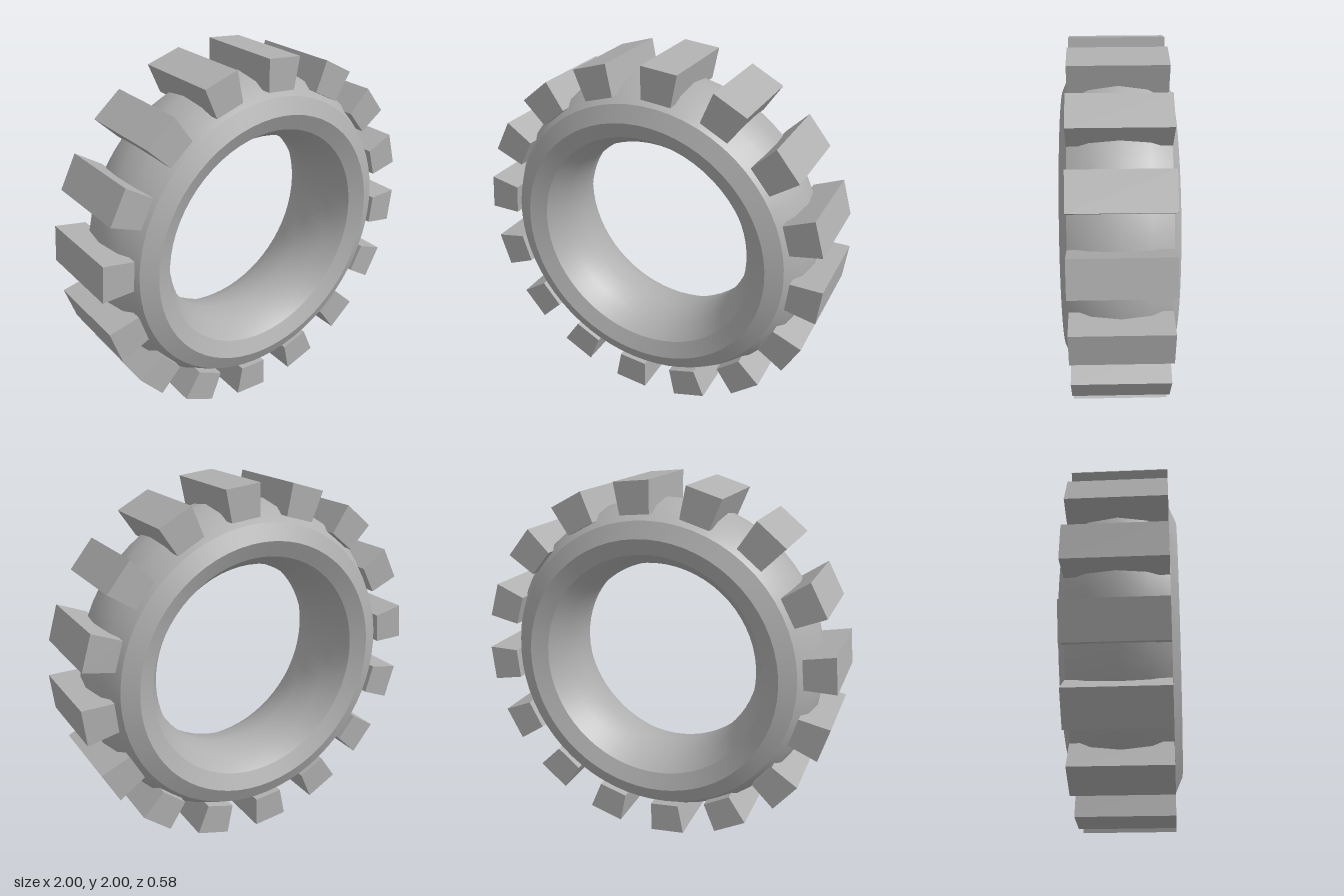
import * as THREE from 'three';
import { toCreasedNormals } from 'three/addons/utils/BufferGeometryUtils.js';

export function createModel() {
  const model = new THREE.Group();
  model.name = 'treadedTyre';
  const rubber = new THREE.MeshStandardMaterial({ color: 0xb0b0b0 });
  rubber.name = 'grey rubber';

  // wheel centre sits one unit above the ground
  const wheel = new THREE.Group();
  wheel.name = 'wheel';
  wheel.position.y = 1;
  model.add(wheel);

  // tyre body: twelve-sided ring section stretched across its width
  const ring = new THREE.TorusGeometry(0.71, 0.175, 12, 64);
  ring.scale(1, 1, 0.29 / 0.175);
  const body = new THREE.Mesh(toCreasedNormals(ring, 0.5), rubber);
  body.name = 'tyreBody';
  wheel.add(body);

  // tread lugs: blocks with radial sides, each filling half of its pitch
  const count = 16, inner = 0.83, outer = 1, width = 0.5;
  const pitch = (Math.PI * 2) / count;
  const corner = (r, a) => new THREE.Vector2(r * Math.sin(a), r * Math.cos(a));
  const section = new THREE.Shape([
    corner(inner, 0), corner(inner, pitch / 2),
    corner(outer, pitch / 2), corner(outer, 0),
  ]);
  const lugGeometry = new THREE.ExtrudeGeometry(section, { depth: width, bevelEnabled: false });
  lugGeometry.translate(0, 0, -width / 2);

  const tread = new THREE.Group();
  tread.name = 'tread';
  for (let i = 0; i < count; i++) {
    const lug = new THREE.Mesh(lugGeometry, rubber);
    lug.name = `treadLug${i + 1}`;
    lug.rotation.z = -i * pitch;
    tread.add(lug);
  }
  wheel.add(tread);

  return model;
}
